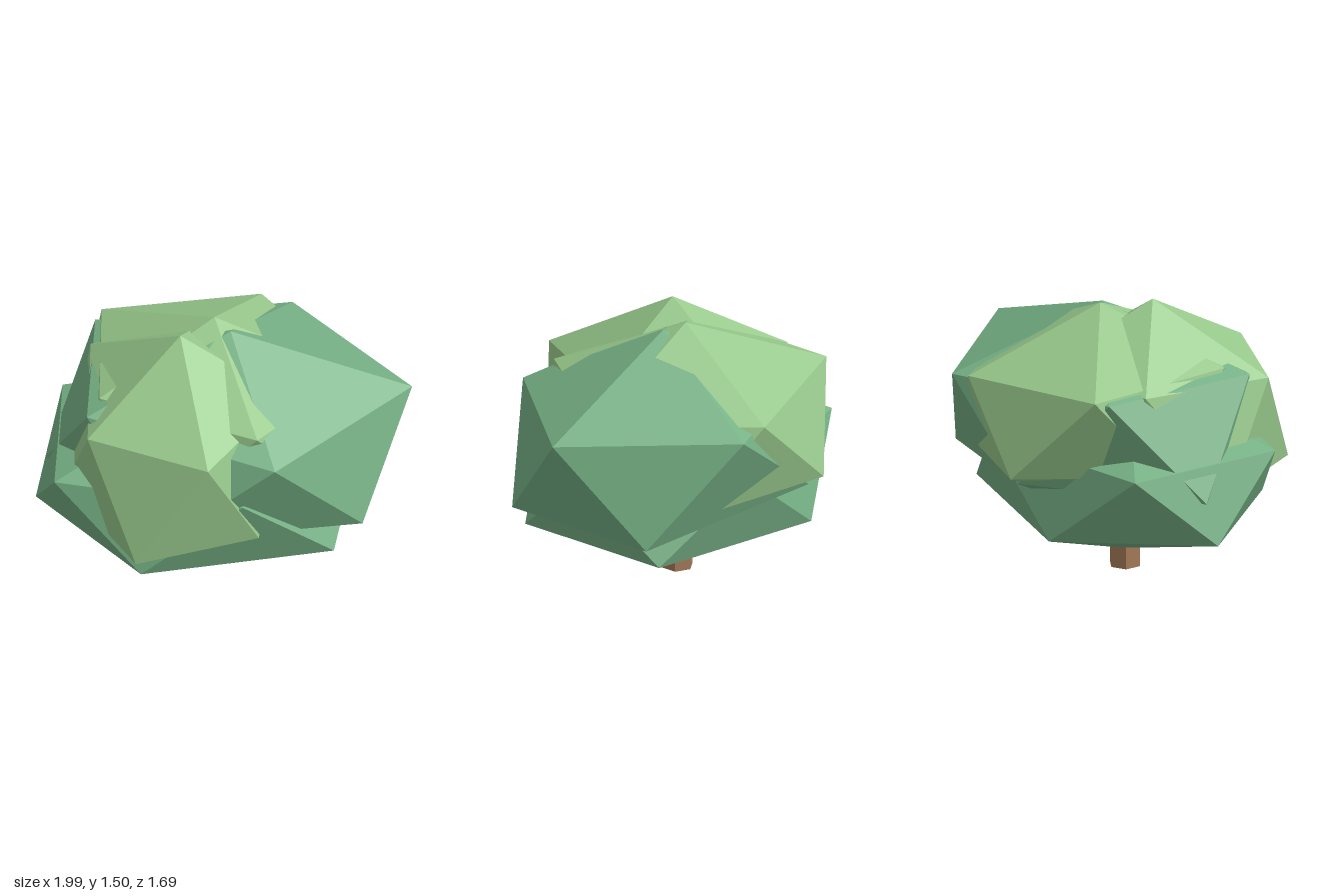
import * as THREE from 'three';
import { ConvexGeometry } from 'three/addons/geometries/ConvexGeometry.js';

const material = (color) => new THREE.MeshStandardMaterial({ color, flatShading: true });
const darkLeaf = material(0x76b185);
const lightLeaf = material(0x98c98c);
const bark = material(0xa67c5a);

// Faceted 20-sided clump: six corners, each mirrored through the centre
function clump(name, mat, centre, corners) {
  const c = new THREE.Vector3(...centre);
  const points = corners.flatMap((p) => {
    const v = new THREE.Vector3(...p);
    return [v, c.clone().multiplyScalar(2).sub(v)];
  });
  const mesh = new THREE.Mesh(new ConvexGeometry(points), mat);
  mesh.name = name;
  return mesh;
}

export function createModel() {
  const group = new THREE.Group();
  group.name = 'bush';

  // Six-sided stem, its top hidden in the foliage
  const trunk = new THREE.Mesh(new THREE.CylinderGeometry(0.087, 0.087, 0.25, 6), bark);
  trunk.name = 'trunk';
  trunk.position.set(-0.13, 0.125, 0);
  group.add(trunk);

  group.add(
    // Broad base, one corner pointing down onto the trunk
    clump('lowerFoliage', darkLeaf, [-0.14, 0.575, 0], [
      [-0.13, 0.09, 0], [-1, 0.36, 0], [-0.41, 0.36, 0.69],
      [0.6, 0.38, 0.45], [0.6, 0.38, -0.45], [-0.41, 0.35, -0.68],
    ]),
    // Large clump on the left
    clump('leftFoliage', darkLeaf, [0.02, 0.85, -0.04], [
      [0.99, 1.11, -0.04], [0.03, 1.44, -0.03], [0.3, 1.05, 0.7],
      [0.75, 0.54, 0.42], [0.75, 0.54, -0.48], [0.32, 1.1, -0.8],
    ]),
    // Light clump at the front
    clump('frontFoliage', lightLeaf, [-0.257, 0.861, 0.168], [
      [-0.23, 1.5, 0.11], [-0.43, 0.53, 0.84], [-0.7, 1.11, 0.53],
      [-0.05, 1.11, 0.8], [0.33, 1.16, 0.16], [0.21, 0.56, 0.61],
    ]),
    // Light clump at the back
    clump('backFoliage', lightLeaf, [-0.05, 0.93, -0.14], [
      [-0.06, 1.473, -0.11], [-0.3, 0.7, -0.85], [-0.68, 1.18, -0.57],
      [0.155, 1.14, -0.81], [0.69, 1.14, -0.1], [0.55, 0.66, -0.56],
    ]),
  );
  return group;
}
